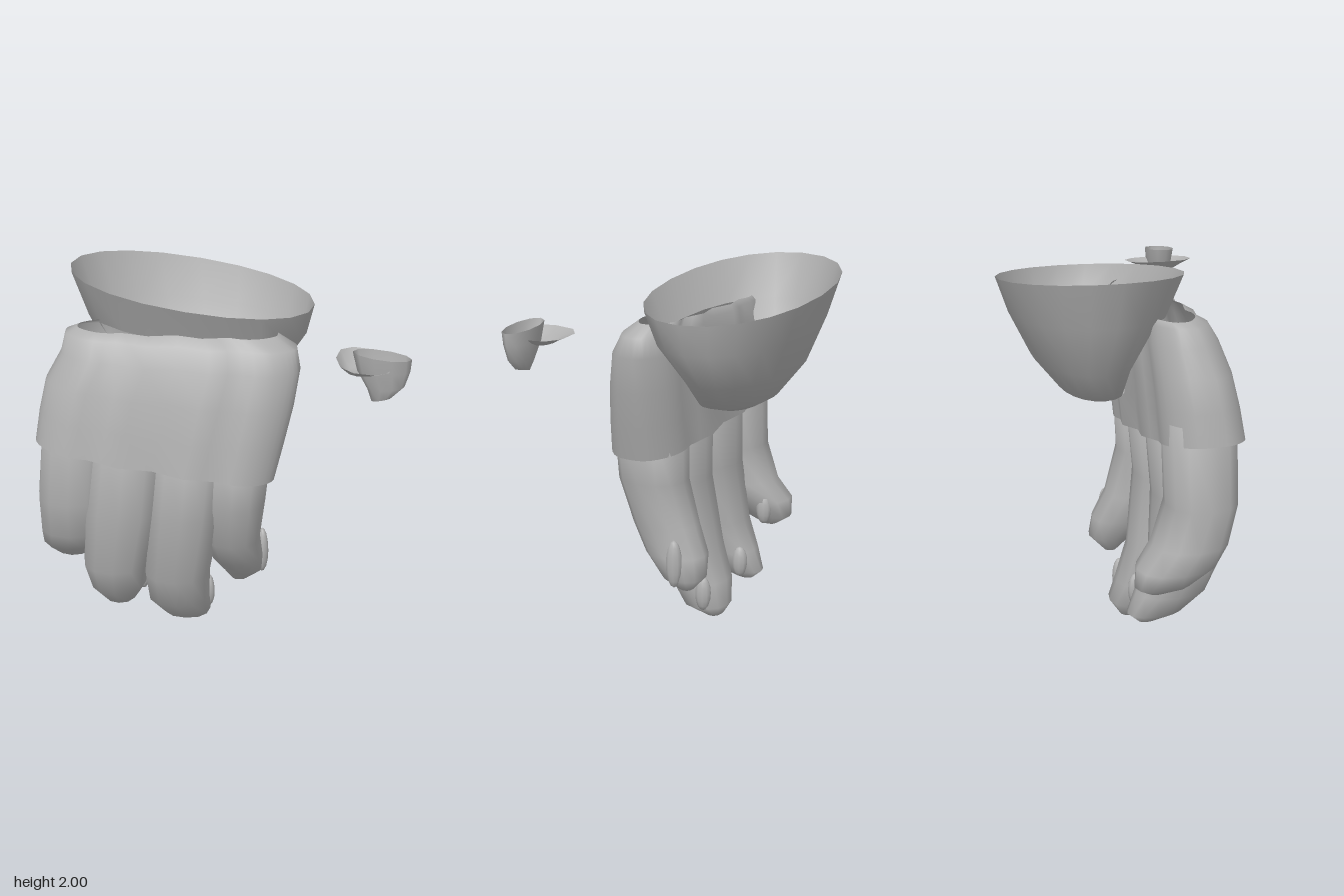
import * as THREE from 'three';

const clay = new THREE.MeshStandardMaterial({ color: 0xb0b0b0, side: THREE.DoubleSide });
clay.name = 'clay grey';

const power = (v, e) => Math.sign(v) * Math.abs(v) ** e;

// Skin a surface over rings listed from top to bottom; optionally close the last ring
// and leave out the faces for which skip(ring, angle) is true.
function loft(name, rings, { capTop = false, capBottom = false, skip = () => false } = {}) {
  const n = rings[0].length;
  const pos = rings.flat().flatMap((p) => p.toArray());
  const index = [];
  for (let i = 0; i < rings.length - 1; i++) {
    for (let j = 0; j < n; j++) {
      if (skip(i, ((j + 0.5) / n) * Math.PI * 2)) continue;
      const a = i * n + j, b = i * n + (j + 1) % n;
      index.push(a, b, a + n, b, b + n, a + n);
    }
  }
  const cap = (row, flip) => {
    const centre = new THREE.Vector3();
    rings[row].forEach((p) => centre.addScaledVector(p, 1 / n));
    const c = pos.length / 3;
    pos.push(...centre.toArray());
    for (let j = 0; j < n; j++) {
      const a = row * n + j, b = row * n + (j + 1) % n;
      if (flip) index.push(b, a, c);
      else index.push(a, b, c);
    }
  };
  if (capTop) cap(0, true);
  if (capBottom) cap(rings.length - 1, false);
  const geometry = new THREE.BufferGeometry();
  geometry.setAttribute('position', new THREE.Float32BufferAttribute(pos, 3));
  geometry.setIndex(index);
  geometry.computeVertexNormals();
  const mesh = new THREE.Mesh(geometry, clay);
  mesh.name = name;
  return mesh;
}

// Rounded ring: y, centre x, half width, front z, back z, slope along x, squareness, knuckle depth
function ring([y, xc, hw, zf, zb, slope = 0], n, e = 1, scallop = 0) {
  return Array.from({ length: n }, (_, j) => {
    const a = (j / n) * Math.PI * 2;
    const u = power(Math.cos(a), e), v = power(Math.sin(a), e);
    const groove = scallop * (1 - Math.abs(Math.sin((u + 1) * Math.PI * 2)));
    const z = (zf + zb) / 2 + ((zf - zb) / 2 - groove) * v;
    return new THREE.Vector3(xc + hw * u, y - slope * hw * u, z);
  });
}

export function createModel() {
  const model = new THREE.Group();
  model.name = 'hanging hand';

  // Four drooping fingers, curling backwards towards the tips
  const fingers = {
    outerFinger: [
      [1.28, -0.75, 0.18, 0.4, 0.02], [0.85, -0.785, 0.185, 0.4, 0.03],
      [0.64, -0.795, 0.18, 0.35, -0.04], [0.53, -0.82, 0.16, 0.28, -0.13],
      [0.43, -0.82, 0.1, 0.15, -0.14], [0.38, -0.8, 0.035, 0.02, -0.06],
    ],
    ringFinger: [
      [1.25, -0.46, 0.2, 0.44, 0.02], [0.8, -0.51, 0.21, 0.45, 0.05],
      [0.45, -0.56, 0.18, 0.39, 0.02], [0.28, -0.56, 0.15, 0.32, -0.05],
      [0.16, -0.56, 0.09, 0.19, -0.1], [0.11, -0.56, 0.03, 0.05, -0.04],
    ],
    middleFinger: [
      [1.2, -0.14, 0.2, 0.44, 0.02], [0.8, -0.18, 0.2, 0.45, 0.05],
      [0.4, -0.23, 0.18, 0.38, 0], [0.2, -0.23, 0.17, 0.28, -0.06],
      [0.07, -0.19, 0.13, 0.17, -0.09], [0, -0.21, 0.06, 0.04, -0.04],
    ],
    innerFinger: [
      [1.15, 0.1, 0.18, 0.42, 0.02], [0.85, 0.08, 0.17, 0.41, 0.03],
      [0.6, 0.07, 0.15, 0.33, -0.04], [0.45, 0.09, 0.14, 0.24, -0.11],
      [0.33, 0.12, 0.11, 0.12, -0.12], [0.25, 0.1, 0.04, 0.03, -0.04],
    ],
  };
  for (const [name, rows] of Object.entries(fingers)) {
    model.add(loft(name, rows.map((r) => ring(r, 12, 0.85)), { capTop: true, capBottom: true }));
  }

  // Oval nails on the inner side of each fingertip
  const nails = [[0.225, 0.43, 0, 0.135], [-0.075, 0.16, 0.0, 0.1], [-0.445, 0.24, -0.02, 0.09], [-0.705, 0.49, -0.03, 0.09]];
  for (const [x, y, z, h] of nails) {
    const nail = new THREE.Mesh(new THREE.SphereGeometry(1, 10, 8), clay);
    nail.name = 'nail';
    nail.scale.set(0.035, h, 0.045);
    nail.position.set(x, y, z);
    nail.rotation.y = 0.4;
    model.add(nail);
  }

  // Back of the hand: a ridged shell whose lower edge overlaps the fingers
  const palm = [
    [1.76, -0.22, 0.52, 0.25, 0, 0.02], [1.72, -0.2, 0.6, 0.31, -0.02, 0.05],
    [1.62, -0.2, 0.62, 0.37, -0.03, 0.06], [1.45, -0.255, 0.645, 0.42, -0.03, 0.1],
    [1.27, -0.295, 0.64, 0.455, -0.02, 0.13], [1.095, -0.33, 0.63, 0.48, -0.01, 0.15],
  ];
  model.add(loft('palm', palm.map((r) => ring(r, 48, 0.65, 0.035))));

  // Flared wrist cuff, open above and towards the palm
  const cuff = [
    [1.905, -0.17, 0.65, 0.27, -0.66, 0.15], [1.7, -0.15, 0.59, 0.18, -0.59, 0.1],
    [1.47, -0.15, 0.47, 0.02, -0.48, 0.04], [1.31, -0.15, 0.31, -0.02, -0.35, 0],
    [1.27, -0.15, 0.17, -0.1, -0.28, 0],
  ];
  model.add(loft('cuff', cuff.map((r) => ring(r, 20, 0.95)), {
    capBottom: true,
    skip: (i, a) => i > 0 && i < 3 && Math.sin(a) > 0.6,
  }));

  // Small detached piece: a narrow cup crossed by a shallow dish
  const piece = new THREE.Group();
  piece.name = 'loose piece';
  const cup = [
    [1.79, 0.825, 0.145, 0.58, 0.43, 0.12], [1.71, 0.835, 0.13, 0.57, 0.44, 0],
    [1.62, 0.85, 0.09, 0.55, 0.46, -0.1], [1.565, 0.83, 0.05, 0.54, 0.49, -0.2],
  ];
  const dish = [
    [1.745, 0.74, 0.14, 0.66, 0.28, 0.1], [1.715, 0.74, 0.11, 0.59, 0.36, 0.05],
    [1.69, 0.73, 0.07, 0.54, 0.41, 0],
  ];
  piece.add(loft('cup', cup.map((r) => ring(r, 10)), { capBottom: true }));
  piece.add(loft('dish', dish.map((r) => ring(r, 10, 0.8)), { capBottom: true }));
  model.add(piece);

  return model;
}
